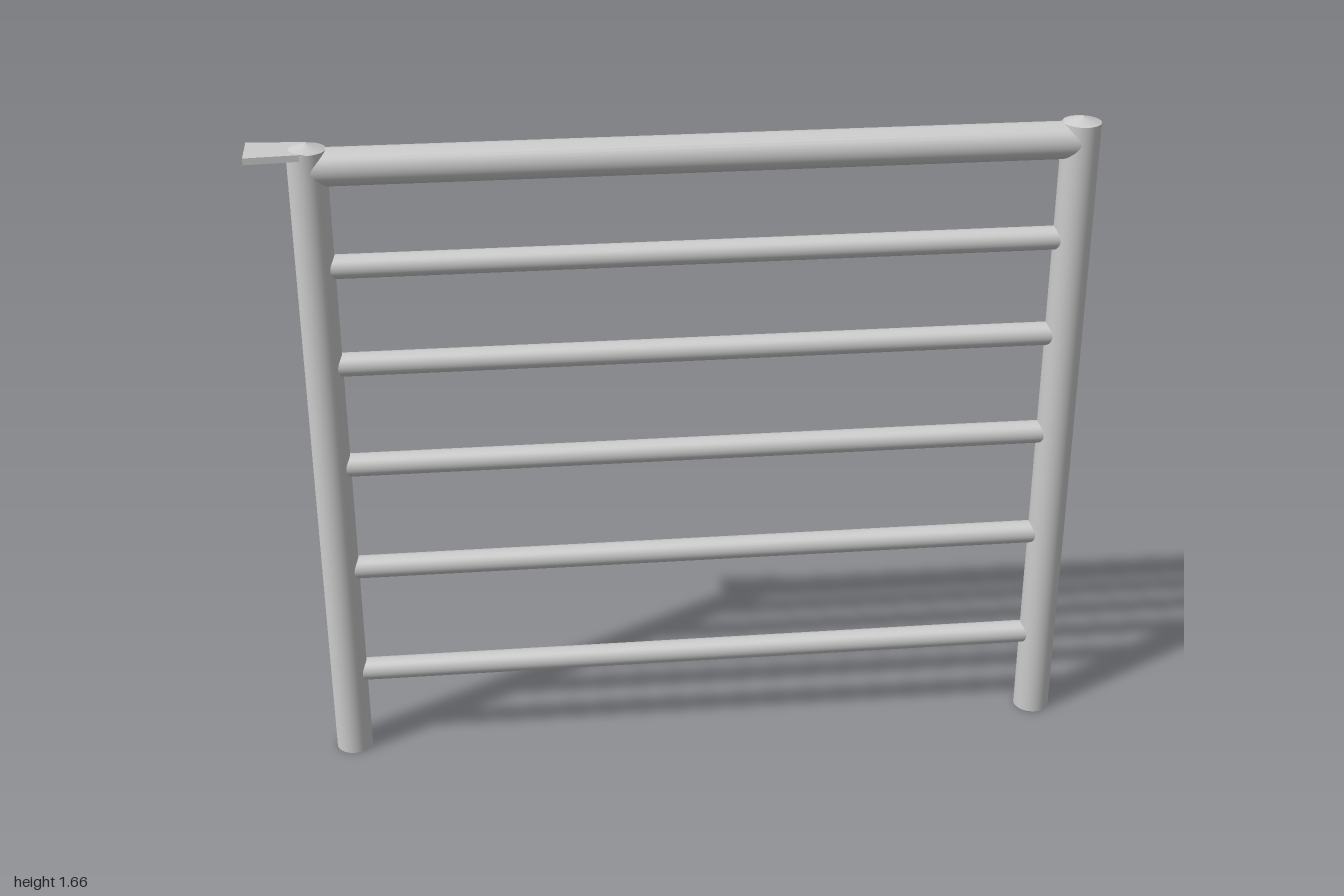
import * as THREE from 'three';

const material = new THREE.MeshStandardMaterial({ color: 0xcccccc });

const POST_R = 0.046, POST_TOP = 1.645;
const LEFT_X = 0.951, RIGHT_X = -0.861;

function addMesh(parent, name, geometry, x, y, z) {
  const mesh = new THREE.Mesh(geometry, material);
  mesh.name = name;
  mesh.position.set(x, y, z);
  parent.add(mesh);
  return mesh;
}

// Horizontal tube running between the post centre lines
function addBar(parent, name, y, radius) {
  const length = LEFT_X - RIGHT_X;
  const bar = addMesh(parent, name, new THREE.CylinderGeometry(radius, radius, length, 32),
    (LEFT_X + RIGHT_X) / 2, y, 0);
  bar.rotation.z = Math.PI / 2;
}

// Round post with a shallow conical cap
function addPost(parent, name, x) {
  const post = new THREE.Group();
  post.name = name;
  post.position.x = x;
  addMesh(post, name + 'Tube', new THREE.CylinderGeometry(POST_R, POST_R, POST_TOP, 40), 0, POST_TOP / 2, 0);
  addMesh(post, name + 'Cap', new THREE.ConeGeometry(POST_R, 0.015, 40, 1, true), 0, POST_TOP + 0.0075, 0);
  parent.add(post);
}

export function createModel() {
  const railing = new THREE.Group();
  railing.name = 'railing';

  addPost(railing, 'leftPost', LEFT_X);
  addPost(railing, 'rightPost', RIGHT_X);

  // Thick handrail flush with the post tops
  addBar(railing, 'topRail', 1.601, 0.045);

  // Thin rungs, spaced wider toward the bottom
  [0.23, 0.535, 0.826, 1.099, 1.353].forEach((y, i) => addBar(railing, 'rung' + (i + 1), y, 0.029));

  // Flared mounting plate reaching outward from the right post
  const outline = new THREE.Shape([
    new THREE.Vector2(-1, -0.053),
    new THREE.Vector2(RIGHT_X, -0.043),
    new THREE.Vector2(RIGHT_X, 0.043),
    new THREE.Vector2(-1, 0.053),
  ]);
  const plate = new THREE.ExtrudeGeometry(outline, { depth: 0.016, bevelEnabled: false });
  plate.rotateX(-Math.PI / 2);
  addMesh(railing, 'mountingPlate', plate, 0, 1.631, 0);

  return railing;
}
